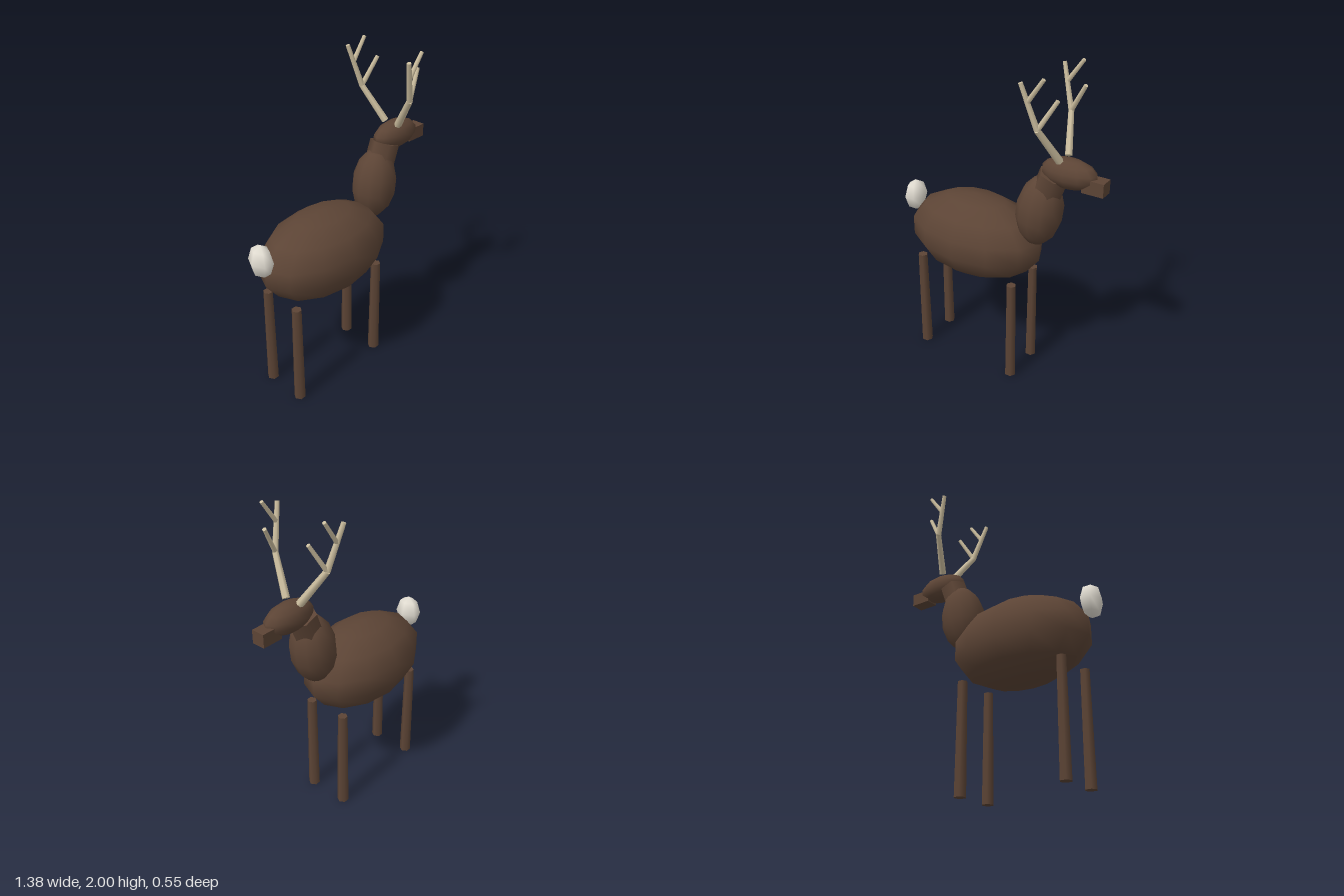
import * as THREE from 'three';

export function createModel() {
  const model = new THREE.Group();
  model.name = 'deer';

  const material = (name, color) => {
    const m = new THREE.MeshStandardMaterial({ color });
    m.name = name;
    return m;
  };
  const fur = material('brown fur', 0x5c4435);
  const horn = material('pale horn', 0xcbbd9e);
  const white = material('white fur', 0xe4dfd4);

  const add = (parent, name, geometry, mat) => {
    const mesh = new THREE.Mesh(geometry, mat);
    mesh.name = name;
    parent.add(mesh);
    return mesh;
  };

  // Low-poly smooth ellipsoid
  const ellipsoid = (name, center, radii, tilt, mat, sides = 12, rows = 7) => {
    const g = new THREE.SphereGeometry(1, sides, rows);
    g.scale(...radii).rotateZ(tilt).translate(...center);
    return add(model, name, g, mat);
  };

  // Six-sided tapered rod between two points
  const rod = (parent, name, a, b, r0, r1, mat) => {
    const from = new THREE.Vector3(...a);
    const dir = new THREE.Vector3(...b).sub(from);
    const g = new THREE.CylinderGeometry(r1, r0, dir.length(), 6, 1, false, Math.PI / 2);
    const mesh = add(parent, name, g, mat);
    mesh.position.copy(from).addScaledVector(dir, 0.5);
    mesh.quaternion.setFromUnitVectors(new THREE.Vector3(0, 1, 0), dir.normalize());
    return mesh;
  };

  // Trunk, neck and head
  ellipsoid('body', [-0.155, 0.873, 0], [0.457, 0.267, 0.28], 0, fur);
  ellipsoid('chest', [0.285, 1.152, 0], [0.14, 0.22, 0.135], -0.12, fur);
  rod(model, 'neck', [0.298, 1.2, 0], [0.37, 1.395, 0], 0.09, 0.09, fur);
  ellipsoid('head', [0.462, 1.427, 0], [0.172, 0.088, 0.085], 0, fur);
  add(model, 'muzzle', new THREE.BoxGeometry(0.13, 0.08, 0.082), fur).position.set(0.622, 1.391, 0);
  ellipsoid('tail', [-0.625, 1.008, 0], [0.065, 0.105, 0.083], 0, white, 6, 4);

  for (const side of [1, -1]) {
    const sideName = side > 0 ? 'Front' : 'Back';

    // Legs
    for (const [name, x] of [['foreleg', 0.177], ['hindLeg', -0.492]]) {
      rod(model, name + sideName, [x, 0, side * 0.126], [x, 0.67, side * 0.126], 0.036, 0.03, fur);
    }

    // Antler: two-part beam with two tines
    const antler = new THREE.Group();
    antler.name = 'antler' + sideName;
    model.add(antler);
    const at = (x, y, z) => [x, y, side * z];
    const base = at(0.427, 1.505, 0.05);
    const fork = at(0.36, 1.71, 0.185);
    const upper = at(0.315, 1.86, 0.212);
    rod(antler, 'lowerBeam', base, fork, 0.023, 0.018, horn);
    rod(antler, 'upperBeam', fork, at(0.283, 1.96, 0.23), 0.018, 0.013, horn);
    rod(antler, 'lowerTine', fork, at(0.457, 1.875, 0.152), 0.015, 0.012, horn);
    rod(antler, 'upperTine', upper, at(0.408, 1.992, 0.215), 0.014, 0.011, horn);
  }

  return model;
}
